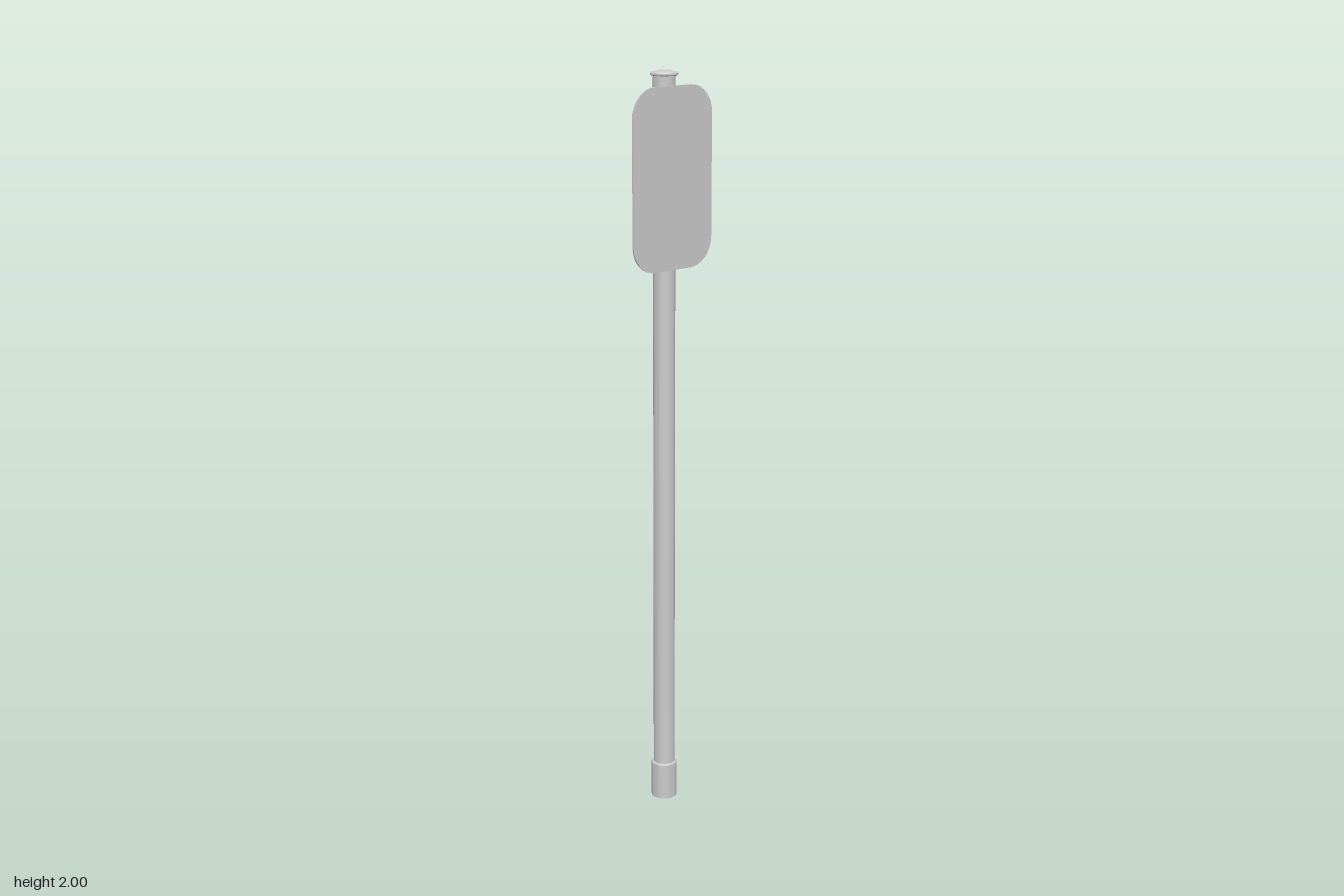
import * as THREE from 'three';
import { toCreasedNormals } from 'three/addons/utils/BufferGeometryUtils.js';

const material = new THREE.MeshStandardMaterial({ color: 0xcccccc });

function part(name, geometry) {
  const mesh = new THREE.Mesh(toCreasedNormals(geometry, 0.5), material);
  mesh.name = name;
  return mesh;
}

// Round part turned about the y axis, from [radius, height] pairs going upwards
function turned(name, profile) {
  return part(name, new THREE.LatheGeometry(profile.map(([r, y]) => new THREE.Vector2(r, y)), 24));
}

// Rounded rectangle centred on the origin
function roundedRect(w, h, r) {
  const s = new THREE.Shape();
  const x = w / 2 - r, y = h / 2 - r;
  s.absarc(x, y, r, 0, Math.PI / 2);
  s.absarc(-x, y, r, Math.PI / 2, Math.PI);
  s.absarc(-x, -y, r, Math.PI, Math.PI * 1.5);
  s.absarc(x, -y, r, Math.PI * 1.5, Math.PI * 2);
  s.closePath();
  return s;
}

export function createModel() {
  const group = new THREE.Group();
  group.name = 'signPost';

  // Ground sleeve, post and shallow domed cap
  group.add(turned('baseSleeve', [[0, 0], [0.035, 0], [0.035, 0.1], [0.033, 0.103], [0.028, 0.103]]));
  group.add(turned('post', [[0, 0.09], [0.029, 0.09], [0.029, 1.99], [0, 1.99]]));
  group.add(turned('cap', [[0, 1.986], [0.034, 1.986], [0.036, 1.988], [0.036, 1.992], [0.033, 1.995], [0.018, 1.999], [0, 2]]));

  // Thin sign plate on the left side of the post
  const depth = 0.004;
  const plate = new THREE.ExtrudeGeometry(roundedRect(0.273, 0.47, 0.075), {
    depth, bevelEnabled: false, curveSegments: 10,
  });
  plate.rotateY(Math.PI / 2);
  plate.translate(0.03, 1.727, 0);
  group.add(part('signPlate', plate));

  return group;
}
